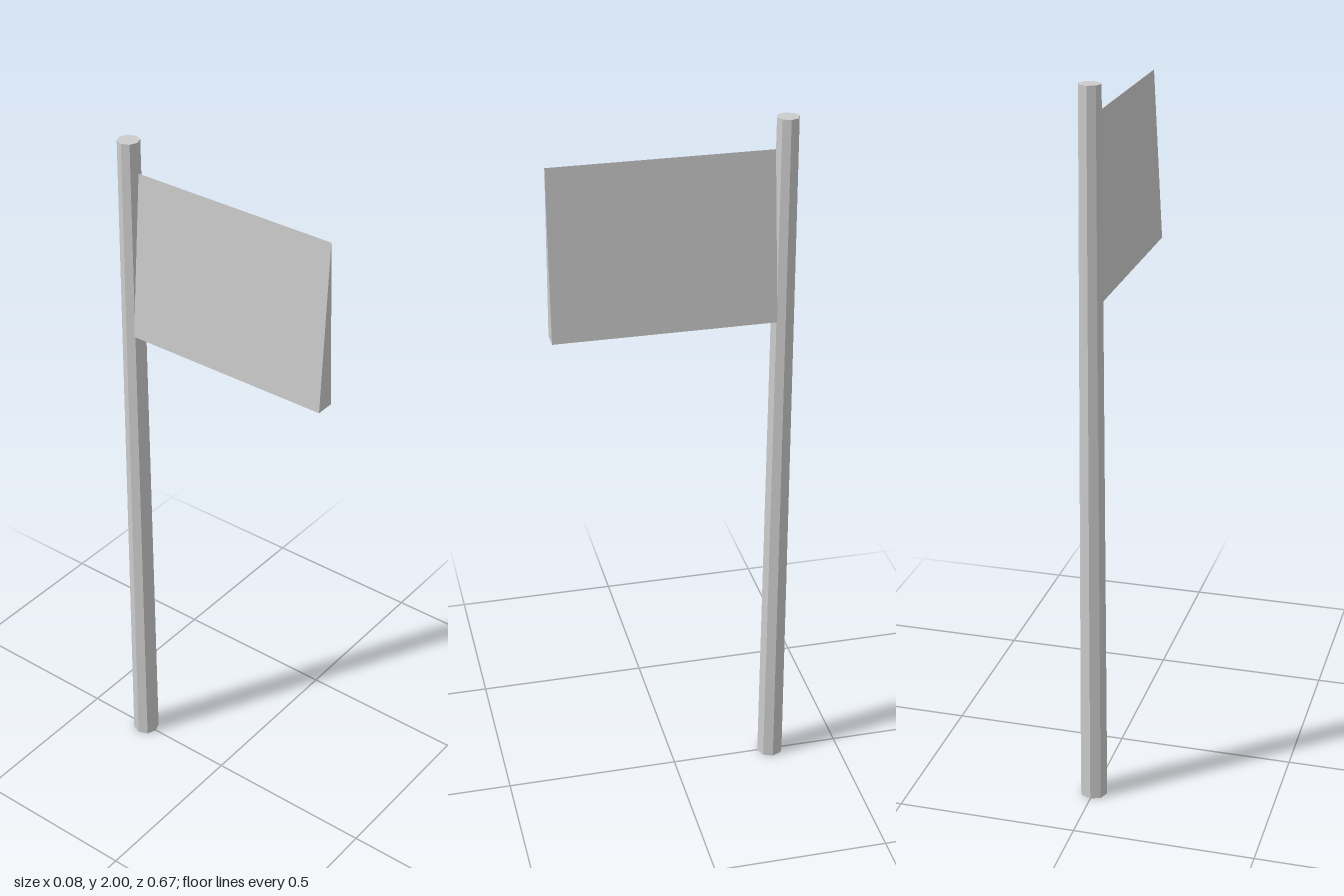
import * as THREE from 'three';

export function createModel() {
  const group = new THREE.Group();
  const material = new THREE.MeshStandardMaterial({ color: 0xcccccc, flatShading: true, side: THREE.DoubleSide });

  // Tapered eight-sided pole
  const pole = new THREE.Mesh(new THREE.CylinderGeometry(0.03, 0.0384, 2, 8), material);
  pole.name = 'pole';
  pole.position.set(0, 1, -0.297);
  group.add(pole);

  // Folded cloth: two sheets meeting along the top, closed at the free end, open below
  const w = 0.0265, top = 1.915, bottom = 1.44, back = -0.275, front = 0.333;
  const corners = [
    0, top, back, w, bottom, back, -w, bottom, back,
    0, top, front, w, bottom, front, -w, bottom, front,
  ];
  const cloth = new THREE.BufferGeometry();
  cloth.setAttribute('position', new THREE.Float32BufferAttribute(corners, 3));
  cloth.setIndex([
    0, 3, 4, 0, 4, 1, // left sheet
    0, 2, 5, 0, 5, 3, // right sheet
    3, 5, 4, // free end
  ]);
  const flatCloth = cloth.toNonIndexed();
  flatCloth.computeVertexNormals();
  const flag = new THREE.Mesh(flatCloth, material);
  flag.name = 'flag';
  group.add(flag);

  return group;
}
